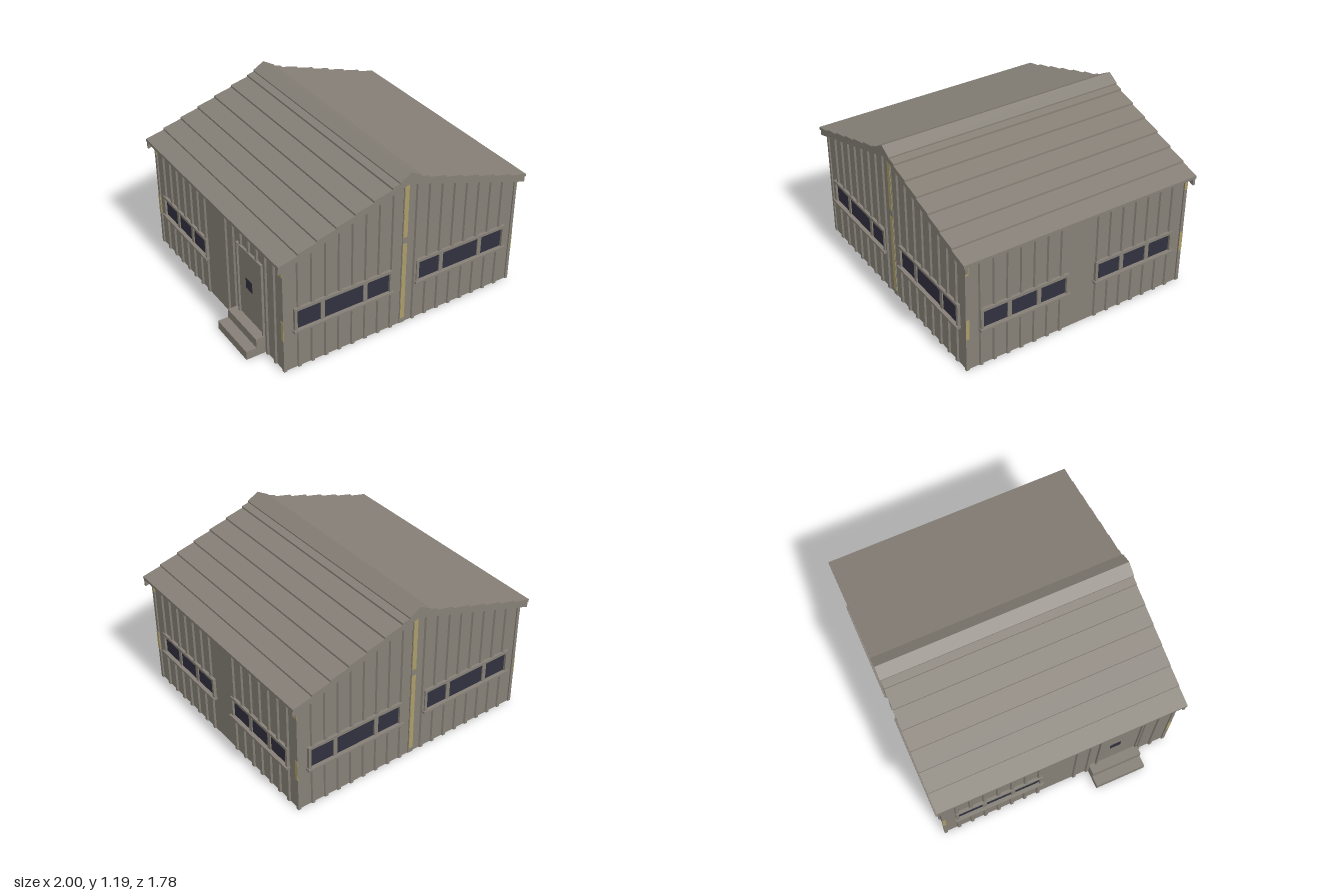
import * as THREE from 'three';

const mat = (name, color, side = THREE.FrontSide) => {
  const m = new THREE.MeshStandardMaterial({ color, side });
  m.name = name;
  return m;
};

export function createModel() {
  const metal = mat('weathered grey', 0x857f76, THREE.DoubleSide);
  const glass = mat('dark glass', 0x31303f);
  const yellow = mat('faded yellow', 0xa99b68);

  const RX = 0.046, SLOPE = 0.328;        // ridge position and roof pitch
  const HX = 0.898, HZ = 0.845;           // wall planes from the centre
  const EAVE = 0.95;                      // roof half span

  const house = new THREE.Group();
  house.name = 'house';

  const add = (parent, name, geo, m) => {
    const mesh = new THREE.Mesh(geo, m);
    mesh.name = name;
    parent.add(mesh);
    return mesh;
  };
  // Box given by its ranges on each axis
  const box = (parent, name, m, x0, x1, y0, y1, z0, z1) => {
    const mesh = add(parent, name, new THREE.BoxGeometry(x1 - x0, y1 - y0, z1 - z0), m);
    mesh.position.set((x0 + x1) / 2, (y0 + y1) / 2, (z0 + z1) / 2);
    return mesh;
  };

  // Ribbed sheet wall: columns of quads, broken at ribs and openings
  function ribbedWall(half, top, ribs, openings) {
    const rise = 0.012, inner = 0.01, outer = 0.016;
    const offset = u => {
      let o = 0;
      for (const r of ribs) {
        const t = (outer - Math.abs(u - r)) / (outer - inner);
        o = Math.max(o, Math.min(1, t) * rise);
      }
      return o;
    };
    const cuts = [-half, 0, half];
    for (const r of ribs) cuts.push(r - outer, r - inner, r + inner, r + outer);
    for (const o of openings) cuts.push(o.a, o.b);
    cuts.sort((p, q) => p - q);
    const pos = [];
    for (let i = 0; i + 1 < cuts.length; i++) {
      const u = cuts[i], v = cuts[i + 1];
      if (v - u < 1e-5) continue;
      const mid = (u + v) / 2;
      const hole = openings.find(o => mid > o.a && mid < o.b);
      const spans = hole
        ? [[() => 0, () => hole.c], [() => hole.d, top]]
        : [[() => 0, top]];
      const zu = offset(u), zv = offset(v);
      for (const [lo, hi] of spans) {
        pos.push(u, lo(u), zu, v, lo(v), zv, v, hi(v), zv);
        pos.push(u, lo(u), zu, v, hi(v), zv, u, hi(u), zu);
      }
    }
    const g = new THREE.BufferGeometry();
    g.setAttribute('position', new THREE.Float32BufferAttribute(pos, 3));
    g.computeVertexNormals();
    return g;
  }

  // Strip window with frame, mullions, sill and inner brackets
  function stripWindow(parent, { a, b, c, d, mullions }) {
    const w = new THREE.Group();
    w.name = 'window';
    parent.add(w);
    const f = 0.02;
    box(w, 'pane', glass, a, b, c, d, -0.001, 0.004);
    box(w, 'frameTop', metal, a - f, b + f, d, d + f, -0.005, 0.02);
    box(w, 'frameSideA', metal, a - f, a, c, d, -0.005, 0.02);
    box(w, 'frameSideB', metal, b, b + f, c, d, -0.005, 0.02);
    box(w, 'sill', metal, a - f - 0.008, b + f + 0.008, c - 0.016, c, -0.012, 0.032);
    for (const m of mullions) box(w, 'mullion', metal, m - 0.015, m + 0.015, c, d, -0.006, 0.012);
    for (let i = 0; i < 5; i++) {
      const u = a + (b - a) * (i + 0.5) / 5;
      box(w, 'sillBracket', metal, u - 0.025, u + 0.025, c - 0.03, c - 0.016, -0.015, -0.001);
    }
  }

  // Door leaf with jambs and a small pane on both faces
  function doorway(parent, { a, b, c, d }) {
    const g = new THREE.Group();
    g.name = 'door';
    parent.add(g);
    box(g, 'leaf', metal, a, b, c, d, -0.004, 0.004);
    box(g, 'jambA', metal, a - 0.012, a, c, d + 0.012, -0.006, 0.018);
    box(g, 'jambB', metal, b, b + 0.012, c, d + 0.012, -0.006, 0.018);
    box(g, 'lintel', metal, a, b, d, d + 0.012, -0.006, 0.018);
    box(g, 'threshold', metal, a, b, c - 0.012, c, -0.012, 0.018);
    box(g, 'doorPane', glass, 0.39, 0.47, 0.37, 0.45, -0.0049, 0.0049);
  }

  const ribSet = (start, count) => {
    const r = [];
    for (let k = 0; k < count; k++) r.push(start + 0.1 * k, -start - 0.1 * k);
    return r;
  };
  const gableTop = u => 1.14 - SLOPE * Math.abs(u);
  const eaveTop = () => 0.84;

  const win = (a, b, c, d, ...mullions) => ({ a, b, c, d, mullions });
  const gableWindows = [
    win(-0.81, -0.115, 0.31, 0.455, -0.62, -0.3),
    win(0.115, 0.81, 0.31, 0.455, 0.3, 0.62)
  ];
  const leftWindows = [
    win(-0.73, -0.11, 0.295, 0.425, -0.535, -0.315),
    win(0.14, 0.735, 0.295, 0.425, 0.335, 0.545)
  ];
  const rightWindows = [win(-0.735, -0.14, 0.295, 0.425, -0.545, -0.335)];
  const door = { a: 0.31, b: 0.6, c: 0.13, d: 0.67 };

  // Four walls, each built facing +z and turned into place
  const walls = [
    { name: 'frontWall', turn: 0, gable: true, windows: gableWindows },
    { name: 'backWall', turn: Math.PI, gable: true, windows: gableWindows },
    { name: 'leftWall', turn: Math.PI / 2, windows: leftWindows },
    { name: 'rightWall', turn: -Math.PI / 2, windows: rightWindows, door }
  ];
  for (const w of walls) {
    const pivot = new THREE.Group();
    pivot.name = w.name;
    pivot.position.x = RX;
    pivot.rotation.y = w.turn;
    house.add(pivot);
    const side = new THREE.Group();
    side.name = w.name + 'Face';
    side.position.z = w.gable ? HZ : HX;
    pivot.add(side);
    const half = w.gable ? HX : HZ;
    const openings = w.door ? [...w.windows, w.door] : w.windows;
    const ribs = w.gable ? ribSet(0.09, 8) : ribSet(0.14, 7);
    add(side, 'ribbedSheet', ribbedWall(half, w.gable ? gableTop : eaveTop, ribs, openings), metal);
    w.windows.forEach(o => stripWindow(side, o));
    if (w.door) doorway(side, w.door);
    if (w.gable) {
      // Painted strip under the ridge, in two lengths
      box(side, 'ridgePost', metal, -0.02, 0.02, 0, 1.11, -0.003, 0.006);
      for (const [y0, y1] of [[0.04, 0.64], [0.69, 1.11]])
        box(side, 'yellowStrip', yellow, -0.016, 0.016, y0, y1, -0.004, 0.009);
    } else {
      for (const s of [-1, 1]) {
        const u = s * 0.842;
        box(side, 'cornerTrim', metal, u - 0.012, u + 0.012, 0, 0.83, -0.012, 0.01);
        for (const [y0, y1] of [[0.25, 0.4], [0.74, 0.82]])
          box(side, 'yellowCorner', yellow, u - 0.012, u + 0.012, y0, y1, 0.006, 0.012);
      }
    }
  }

  // Profile in x and y, mirrored about the ridge and run along z
  function ridgeProfile(name, upper, lower, z0, z1) {
    const mirror = pts => [...pts.map(([d, y]) => [-d, y]), ...pts.slice().reverse().map(([d, y]) => [d, y])];
    const outline = [...mirror(upper), ...mirror(lower).reverse()];
    const shape = new THREE.Shape(outline.map(([x, y]) => new THREE.Vector2(x, y)));
    const g = new THREE.ExtrudeGeometry(shape, { depth: z1 - z0, bevelEnabled: false });
    const mesh = add(house, name, g, metal);
    mesh.position.set(RX, 0, z0);
  }
  const pitch = y => [[EAVE, y - SLOPE * EAVE], [0.0005, y]];

  // Roof in overlapping courses
  const courses = [], N = 7;
  for (let i = 0; i < N; i++) {
    const d0 = EAVE * (1 - i / N), d1 = EAVE * (1 - (i + 1) / N) + 0.001;
    courses.push([d0, 1.153 - SLOPE * d0 + 0.013], [d1, 1.153 - SLOPE * d1]);
  }
  ridgeProfile('roof', courses, pitch(1.145), -0.885, 0.885);
  ridgeProfile('ridgeCap', [[0.083, 1.143], [0.0005, 1.19]], [[0.083, 1.13], [0.0005, 1.15]], -0.889, 0.889);
  ridgeProfile('frontBargeBoard', pitch(1.15), pitch(1.1), 0.858, 0.876);
  ridgeProfile('backBargeBoard', pitch(1.15), pitch(1.1), -0.876, -0.858);

  // Two hollow steps below the door
  const steps = new THREE.Group();
  steps.name = 'steps';
  house.add(steps);
  for (const [x0, x1, h] of [[-1, -0.925, 0.065], [-0.925, -0.85, 0.13]]) {
    box(steps, 'tread', metal, x0, x1, h - 0.01, h, 0.25, 0.62);
    box(steps, 'riser', metal, x0, x0 + 0.008, 0, h - 0.01, 0.25, 0.62);
    for (const z of [0.25, 0.612]) box(steps, 'stepSide', metal, x0 + 0.008, x1, 0, h - 0.01, z, z + 0.008);
  }
  return house;
}
